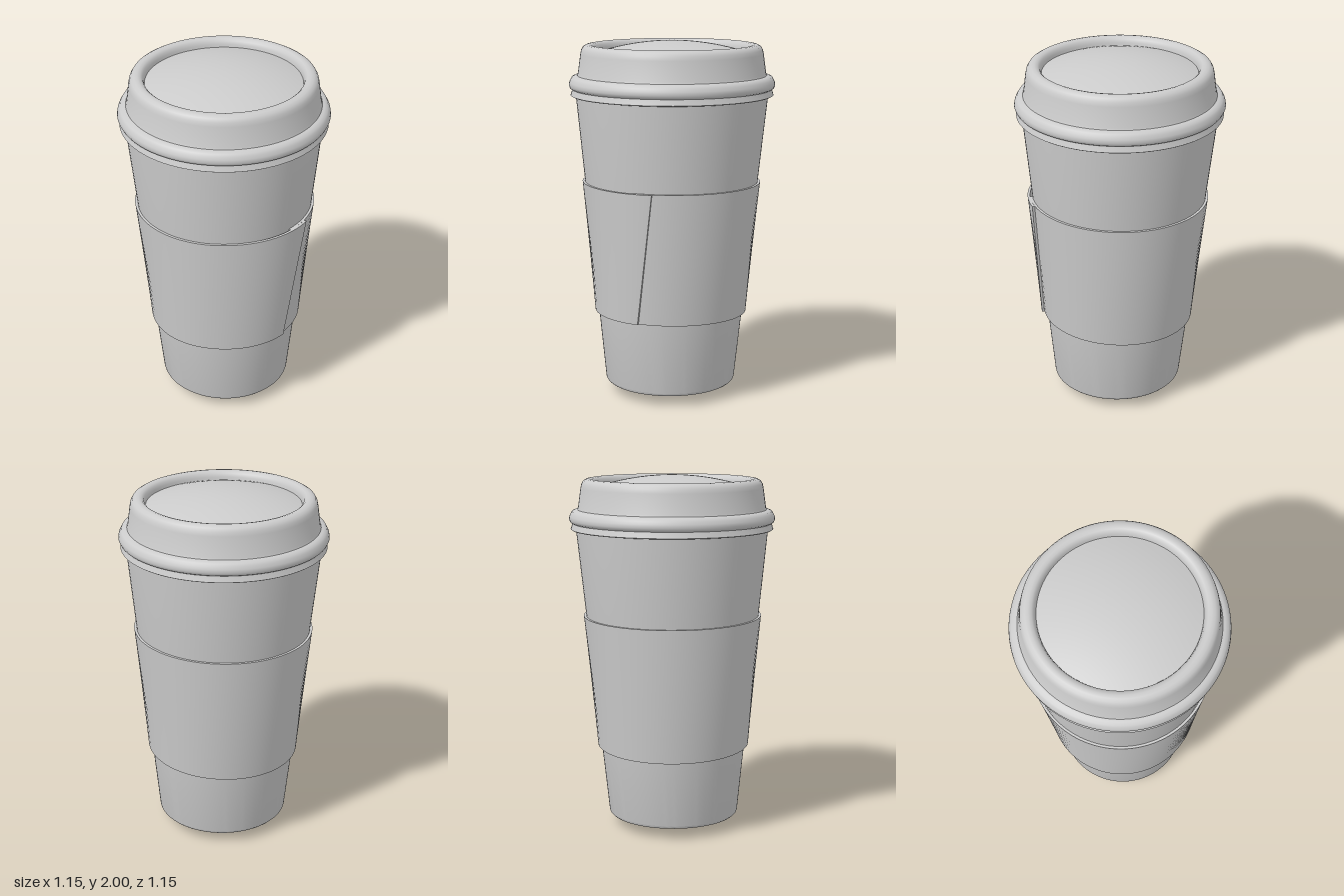
import * as THREE from 'three';
import { toCreasedNormals } from 'three/addons/utils/BufferGeometryUtils.js';

const material = new THREE.MeshStandardMaterial({ color: 0xcccccc });
const LID_Y = 1.7;

// Radius of the tapered cup wall at height y
const cupRadius = (y) => THREE.MathUtils.mapLinear(y, 0.08, LID_Y, 0.37, 0.535);

// The cup stands very slightly off the axis of its lid
function lean(geometry) {
  const p = geometry.attributes.position;
  for (let i = 0; i < p.count; i++) {
    const k = Math.max(0, 1 - p.getY(i) / LID_Y);
    p.setXYZ(i, p.getX(i) + 0.008 * k, p.getY(i), p.getZ(i) + 0.016 * k);
  }
  return geometry;
}

function makeMesh(name, geometry, crease = 0.6) {
  const mesh = new THREE.Mesh(toCreasedNormals(geometry, crease), material);
  mesh.name = name;
  return mesh;
}

const lathe = (points) =>
  new THREE.LatheGeometry(points.map(([r, y]) => new THREE.Vector2(r, y)), 96);

// Wrapped sleeve: a strip swept round the cup, its slanted outer end lapping over the inner end
function sleeveGeometry() {
  const steps = 140, sweep = Math.PI * 2 + 0.25;
  const positions = [], index = [];
  const seamTop = 0.96, seamBottom = 0.75, thickness = 0.014;
  for (let i = 0; i <= steps; i++) {
    const t = (i / steps) * sweep;
    const lift = 1 - THREE.MathUtils.smoothstep(t, 0, 1.1);
    const corner = (top, outer) => {
      const a = (top ? seamTop : seamBottom) - t;
      const wave = Math.cos(a - 0.8);
      const y = top ? 1.217 + 0.007 * wave : 0.472 + 0.016 * wave;
      const offset = (top ? 0.014 : 0.021) + 0.015 * lift - (outer ? 0 : thickness);
      const r = cupRadius(y) + offset;
      positions.push(r * Math.sin(a), y, r * Math.cos(a));
    };
    corner(false, false);
    corner(false, true);
    corner(true, true);
    corner(true, false);
    if (i === steps) break;
    for (let j = 0; j < 4; j++) {
      const a = i * 4 + j, b = i * 4 + ((j + 1) % 4);
      index.push(a, b, b + 4, a, b + 4, a + 4);
    }
  }
  const e = steps * 4;
  index.push(0, 2, 1, 0, 3, 2, e, e + 1, e + 2, e, e + 2, e + 3);
  const geometry = new THREE.BufferGeometry();
  geometry.setAttribute('position', new THREE.Float32BufferAttribute(positions, 3));
  geometry.setIndex(index);
  return geometry;
}

export function createModel() {
  const group = new THREE.Group();
  group.name = 'takeawayCup';

  // Cup body with a gently bulging underside
  group.add(makeMesh('cupBody', lean(lathe([
    [0, 0], [0.1, 0.004], [0.19, 0.016], [0.27, 0.036], [0.33, 0.054], [0.36, 0.064],
    [0.368, 0.072], [0.37, 0.08], [cupRadius(0.5), 0.5], [cupRadius(1.2), 1.2], [0.535, LID_Y], [0.536, 1.72],
  ]))));

  group.add(makeMesh('sleeve', lean(sleeveGeometry())));

  // Lid skirt, snap bead, raised wall and rounded rim
  group.add(makeMesh('lid', lathe([
    [0.525, 1.705], [0.558, 1.7], [0.564, 1.704], [0.558, 1.722], [0.554, 1.736],
    [0.566, 1.743], [0.573, 1.758], [0.57, 1.776], [0.563, 1.79], [0.556, 1.802],
    [0.54, 1.809], [0.526, 1.812], [0.522, 1.822], [0.507, 1.93], [0.502, 1.952],
    [0.492, 1.969], [0.476, 1.978], [0.458, 1.981], [0.442, 1.977], [0.43, 1.966],
    [0.424, 1.948], [0.42, 1.925],
  ]), 0.7));

  // Domed panel set inside the rim
  const dome = [];
  for (let i = 0; i <= 12; i++) {
    const r = 0.424 * (1 - i / 12);
    dome.push([r, 2 - 0.068 * (r / 0.424) ** 2]);
  }
  group.add(makeMesh('lidPanel', lathe(dome)));

  return group;
}
